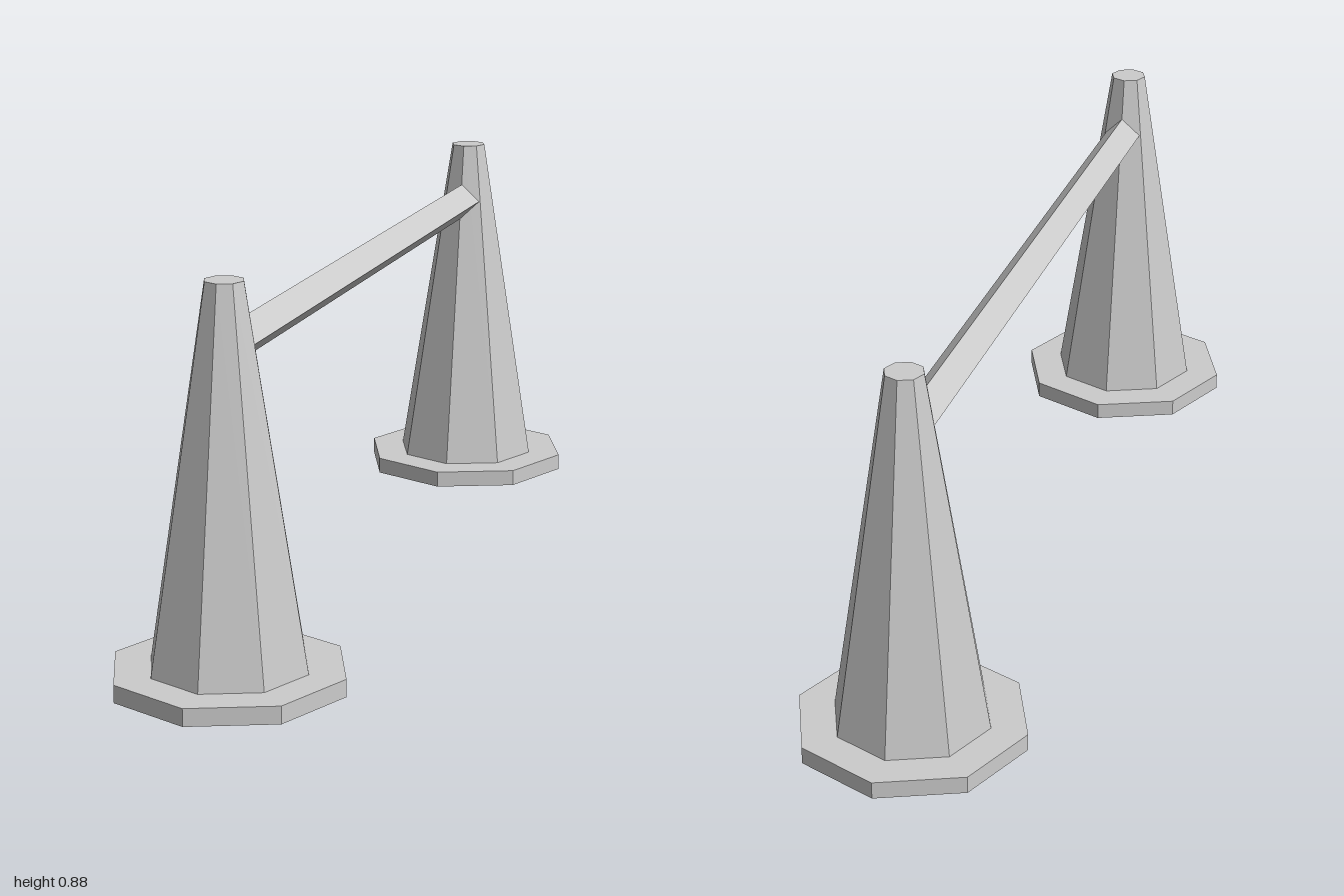
import * as THREE from 'three';

// Two eight-sided hollow cones joined by a diamond-section bar.
export function createModel() {
  const model = new THREE.Group();
  model.name = 'coneBarrier';
  const material = new THREE.MeshStandardMaterial({
    color: 0xcccccc, flatShading: true, side: THREE.DoubleSide,
  });
  const add = (name, geometry, parent) => {
    const mesh = new THREE.Mesh(geometry, material);
    mesh.name = name;
    parent.add(mesh);
    return mesh;
  };
  const lathe = (points) =>
    new THREE.LatheGeometry(points.map(([r, y]) => new THREE.Vector2(r, y)), 8);

  const x = 0.505, z = 0.738;
  const halfSpan = Math.hypot(x, z);

  // Everything is laid out along local z, then turned to the diagonal
  const barrier = new THREE.Group();
  barrier.name = 'barrier';
  barrier.rotation.y = Math.atan2(x, z);
  model.add(barrier);

  // Flat base ring with an open centre, and a tapered thin-walled body
  const base = lathe([[0.18, 0.04], [0.18, 0], [0.264, 0], [0.264, 0.04], [0.18, 0.04]]);
  const body = lathe([[0.18, 0.04], [0.044, 0.88], [0, 0.88]]);
  for (const [name, side] of [['frontCone', 1], ['backCone', -1]]) {
    const cone = new THREE.Group();
    cone.name = name;
    cone.position.z = side * halfSpan;
    add('coneBase', base, cone);
    add('coneBody', body, cone);
    barrier.add(cone);
  }

  // Bar running from cone to cone, edge up
  const bar = new THREE.CylinderGeometry(0.045, 0.045, 2 * halfSpan, 4).rotateX(Math.PI / 2);
  add('crossbar', bar, barrier).position.y = 0.734;

  return model;
}
